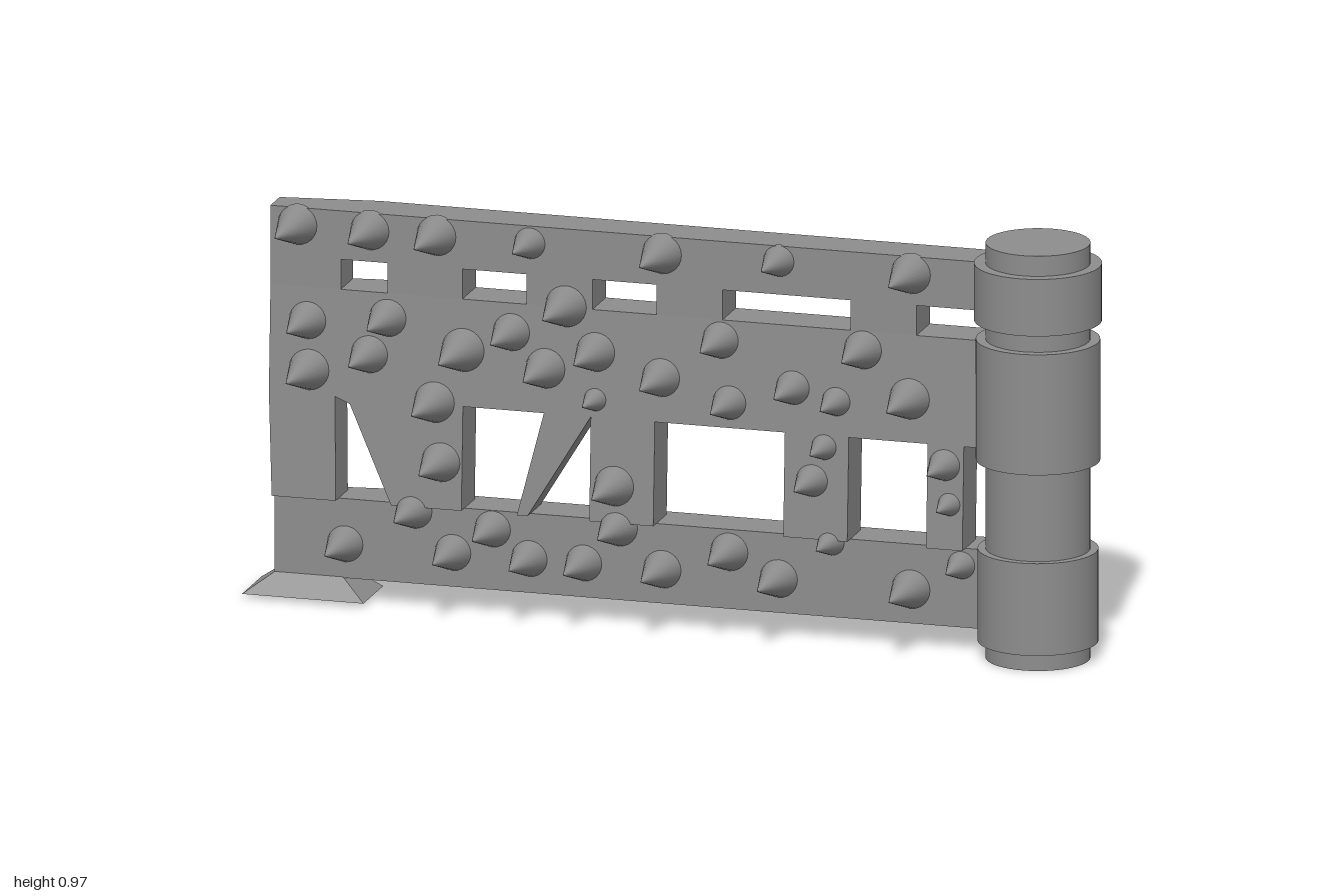
import * as THREE from 'three';

const FRONT = -0.035, BACK = -0.14, TAPER_X = -0.72, END_X = -0.945;

// The sheet below the top rail leans slightly forward toward its foot
const lean = (y) => 0.05 * Math.max(0, 0.727 - y);

export function createModel() {
  const group = new THREE.Group();
  const mat = new THREE.MeshStandardMaterial({ color: 0x8d8d8d });

  const add = (geo, name, parent = group) => {
    const mesh = new THREE.Mesh(geo, mat);
    mesh.name = name;
    parent.add(mesh);
    return mesh;
  };

  // Flat slab from an outline; its back thins toward the free end of the gate
  const slab = (name, pts, leans = true) => {
    const shape = new THREE.Shape(pts.map(([x, y]) => new THREE.Vector2(x, y)));
    const geo = new THREE.ExtrudeGeometry(shape, { depth: FRONT - BACK, bevelEnabled: false });
    geo.translate(0, 0, BACK);
    const p = geo.attributes.position;
    for (let i = 0; i < p.count; i++) {
      const t = Math.max(0, (TAPER_X - p.getX(i)) / (TAPER_X - END_X));
      const z = p.getZ(i) < -0.1 ? BACK + 0.033 * t : FRONT;
      p.setZ(i, z + (leans ? lean(p.getY(i)) : 0));
    }
    geo.computeVertexNormals();
    return add(geo, name);
  };
  const rect = (name, x0, x1, y0, y1, leans) =>
    slab(name, [[x0, y0], [x1, y0], [x1, y1], [x0, y1]], leans);

  // Horizontal rails, each split where the taper begins
  for (const [name, endX, y0, y1, leans] of [
    ['topRail', END_X, 0.797, 0.91, false],
    ['middleRail', END_X, 0.48, 0.727, true],
    ['bottomRail', -0.935, 0.055, 0.24, false],
  ]) {
    rect(name, TAPER_X, 0.77, y0, y1, leans);
    rect(name + 'End', endX, TAPER_X, y0, y1, leans);
  }

  // Short uprights between the top and middle rails
  for (const [x0, x1] of [[END_X, -0.78], [-0.67, -0.495], [-0.345, -0.19], [-0.04, 0.115], [0.415, 0.57]])
    rect('upperUpright', x0, x1, 0.727, 0.797);

  // Lower uprights and slanted braces
  slab('endUpright', [[-0.935, 0.24], [-0.785, 0.24], [-0.79, 0.48], [-0.945, 0.48]]);
  slab('wideBrace', [[-0.655, 0.24], [-0.49, 0.24], [-0.49, 0.48], [-0.72, 0.48], [-0.72, 0.386]]);
  slab('wideBraceEnd', [[-0.72, 0.386], [-0.72, 0.48], [-0.79, 0.48], [-0.755, 0.465]]);
  slab('slimBrace', [[-0.36, 0.24], [-0.335, 0.24], [-0.19, 0.48], [-0.3, 0.48]]);
  for (const [x0, x1] of [[-0.19, -0.04], [0.265, 0.415], [0.6, 0.685]])
    rect('lowerUpright', x0, x1, 0.24, 0.48);

  // Flared foot: a square frustum stretched between two rectangles
  const foot = new THREE.BoxGeometry(1, 1, 1);
  const fp = foot.attributes.position;
  for (let i = 0; i < fp.count; i++) {
    const top = fp.getY(i) > 0, right = fp.getX(i) > 0, front = fp.getZ(i) > 0;
    fp.setXYZ(i,
      top ? (right ? -0.775 : -0.935) : (right ? -0.715 : -1),
      top ? 0.057 : 0.01,
      top ? (front ? FRONT : -0.107) : (front ? 0.005 : -0.15));
  }
  foot.computeVertexNormals();
  add(foot, 'foot');

  // Hinge post with three sleeves
  const post = new THREE.Group();
  post.name = 'hingePost';
  post.position.set(0.855, 0, -0.036);
  group.add(post);
  for (const [name, r, y0, y1] of [
    ['postCore', 0.118, 0, 0.967], ['lowerSleeve', 0.136, 0.04, 0.255],
    ['middleSleeve', 0.14, 0.462, 0.743], ['upperSleeve', 0.144, 0.787, 0.92],
  ]) add(new THREE.CylinderGeometry(r, r, y1 - y0, 48), name, post).position.y = (y0 + y1) / 2;

  // Spikes as [x, y, base radius], grouped by the part they stand on
  const addSpikes = (list, leans) => {
    for (const [x, y, r] of list) {
      const length = 3.9 * r;
      const cone = new THREE.ConeGeometry(r, length, 24);
      cone.translate(0, length / 2, 0);
      const spike = add(cone, 'spike');
      spike.position.set(x, y, FRONT - 0.004 + (leans ? lean(y) : 0));
      spike.rotation.x = Math.PI / 2 - 0.08; // tip leans slightly upward
    }
  };
  const topSpikes = [
    [-0.882, 0.87, 0.047], [-0.712, 0.87, 0.046], [-0.556, 0.87, 0.047], [-0.337, 0.87, 0.037],
    [-0.027, 0.87, 0.047], [0.247, 0.875, 0.037], [0.557, 0.87, 0.047],
  ];
  const sheetSpikes = [
    [-0.857, 0.65, 0.044], [-0.852, 0.537, 0.048], [-0.669, 0.67, 0.044], [-0.711, 0.583, 0.044],
    [-0.492, 0.61, 0.051], [-0.379, 0.66, 0.044], [-0.252, 0.73, 0.049], [-0.298, 0.583, 0.047],
    [-0.181, 0.63, 0.046], [-0.181, 0.52, 0.027], [-0.027, 0.583, 0.045], [0.111, 0.68, 0.043],
    [0.134, 0.538, 0.04], [0.282, 0.584, 0.04], [0.384, 0.56, 0.034], [0.445, 0.684, 0.045],
    [0.556, 0.58, 0.048],
    [-0.557, 0.485, 0.048], [-0.54, 0.348, 0.046], [-0.133, 0.325, 0.047],
    [0.357, 0.453, 0.03], [0.33, 0.374, 0.038], [0.64, 0.434, 0.037], [0.652, 0.344, 0.027],
  ];
  const bottomSpikes = [
    [-0.608, 0.226, 0.043], [-0.424, 0.197, 0.043], [-0.128, 0.225, 0.045], [0.37, 0.23, 0.032],
    [0.131, 0.188, 0.045], [0.675, 0.2, 0.033],
    [-0.77, 0.135, 0.043], [-0.517, 0.135, 0.043], [-0.338, 0.135, 0.043], [-0.21, 0.135, 0.043],
    [-0.026, 0.135, 0.045], [0.247, 0.135, 0.045], [0.557, 0.135, 0.046],
  ];
  addSpikes(topSpikes, false);
  addSpikes(sheetSpikes, true);
  addSpikes(bottomSpikes, false);
  return group;
}
